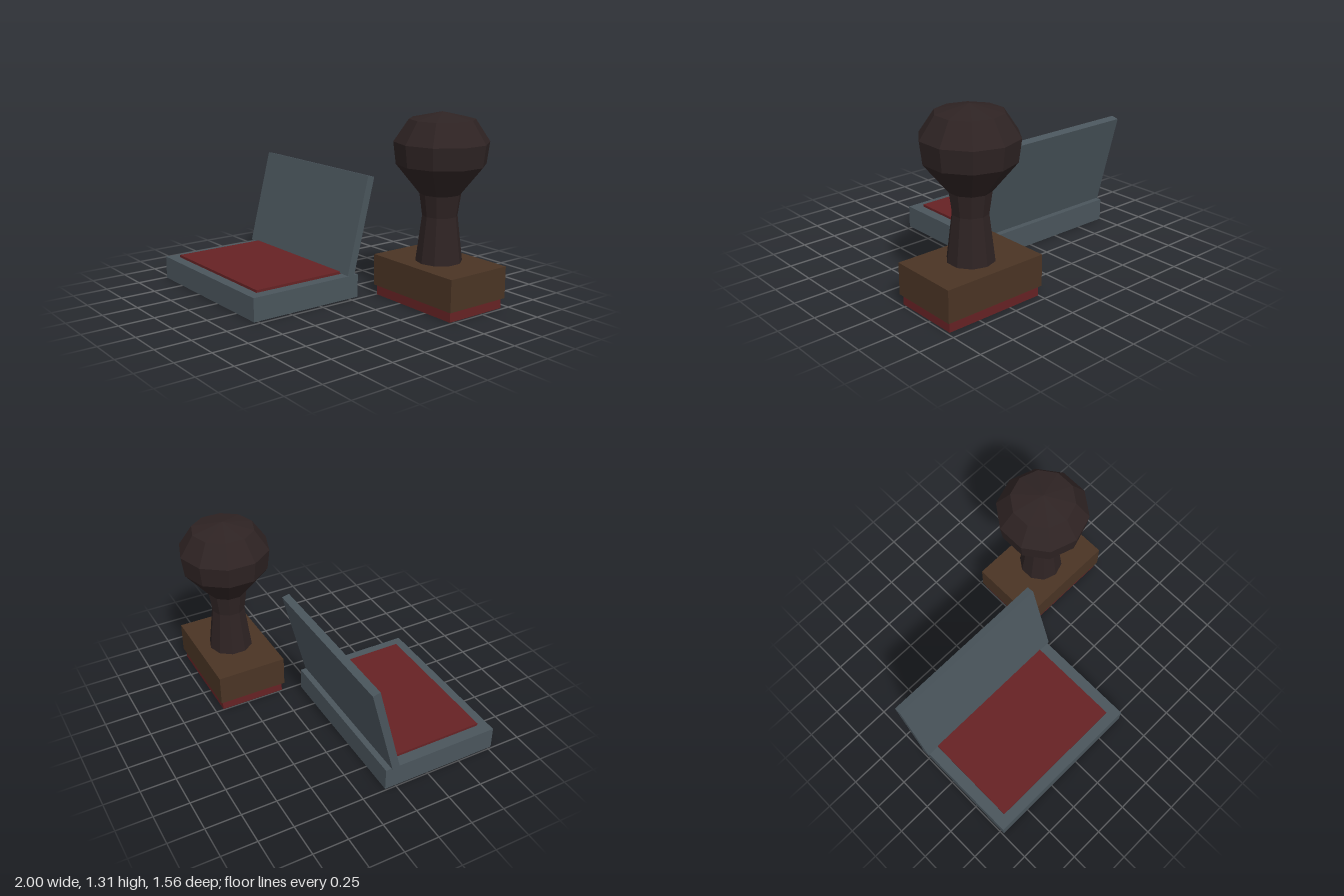
import * as THREE from 'three';

const mat = (name, color) => {
  const m = new THREE.MeshStandardMaterial({ color, flatShading: true });
  m.name = name;
  return m;
};

// Box given by its extents on each axis
function box(name, material, [x0, x1], [y0, y1], [z0, z1]) {
  const mesh = new THREE.Mesh(new THREE.BoxGeometry(x1 - x0, y1 - y0, z1 - z0), material);
  mesh.position.set((x0 + x1) / 2, (y0 + y1) / 2, (z0 + z1) / 2);
  mesh.name = name;
  return mesh;
}

export function createModel() {
  const slate = mat('slate metal', 0x4a555c);
  const red = mat('red ink', 0x662224);
  const brown = mat('brown wood', 0x4a3424);
  const dark = mat('dark wood', 0x2e2323);

  const model = new THREE.Group();
  model.name = 'stampAndInkPad';

  // Ink pad: tray, felt and a lid leaning back
  const inkPad = new THREE.Group();
  inkPad.name = 'inkPad';
  const lid = box('lid', slate, [-1, 0.228], [0, 0.704], [-0.0275, 0.0275]);
  lid.position.set(-0.386, 0.505, -0.093);
  lid.rotation.x = -0.25;
  inkPad.add(
    box('tray', slate, [-0.99, 0.216], [0, 0.163], [-0.077, 0.778]),
    box('inkFelt', red, [-0.909, 0.136], [0.15, 0.181], [-0.005, 0.704]),
    lid
  );

  // Hand stamp: rubber, block and ten-sided turned handle
  const stamp = new THREE.Group();
  stamp.name = 'stamp';
  const profile = [
    [0.16, 0.29], [0.12, 0.61], [0.141, 0.76], [0.303, 0.96],
    [0.322, 1.11], [0.222, 1.26], [0, 1.31],
  ].map(([r, y]) => new THREE.Vector2(r, y));
  const handle = new THREE.Mesh(new THREE.LatheGeometry(profile, 10), dark);
  handle.name = 'handle';
  handle.position.set(0.62, 0, -0.457);
  stamp.add(
    box('rubber', red, [0.257, 0.982], [0, 0.072], [-0.692, -0.219]),
    box('block', brown, [0.24, 1], [0.072, 0.293], [-0.708, -0.204]),
    handle
  );

  model.add(inkPad, stamp);
  return model;
}
